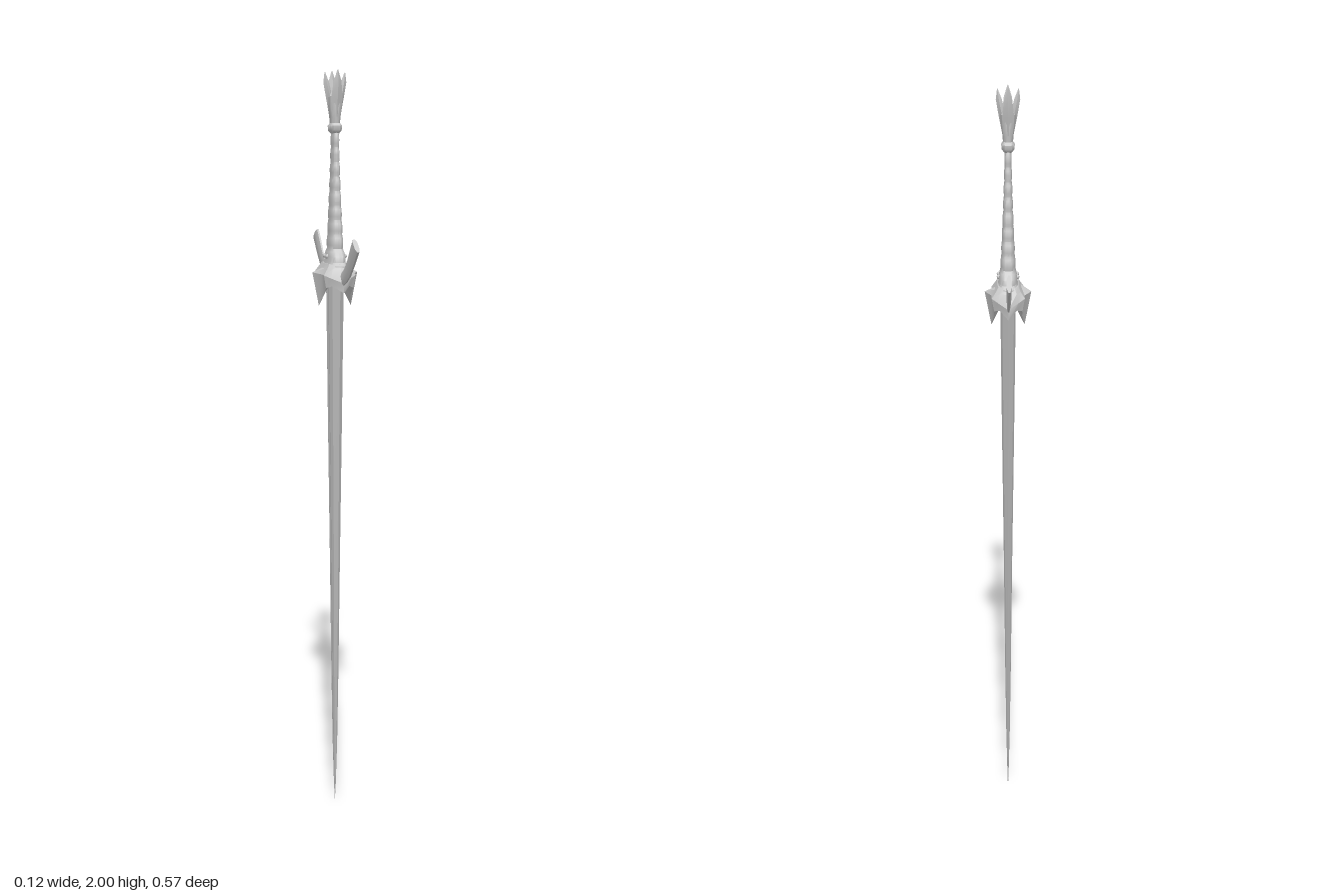
import * as THREE from 'three';
import { toCreasedNormals } from 'three/addons/utils/BufferGeometryUtils.js';

// Skin a list of rings (equal point counts), closing both ends with a fan
function loft(rings, crease = 0.6) {
  const n = rings[0].length, pos = [], idx = [];
  rings.forEach(r => r.forEach(p => pos.push(...p)));
  for (let i = 0; i < rings.length - 1; i++)
    for (let j = 0; j < n; j++) {
      const a = i * n + j, b = i * n + (j + 1) % n;
      idx.push(a, a + n, b, b, a + n, b + n);
    }
  const cap = (ring, base, flip) => {
    const c = [0, 1, 2].map(k => ring.reduce((s, p) => s + p[k], 0) / n);
    const ci = pos.length / 3;
    pos.push(...c);
    for (let j = 0; j < n; j++) {
      const a = base + j, b = base + (j + 1) % n;
      flip ? idx.push(ci, a, b) : idx.push(ci, b, a);
    }
  };
  cap(rings[0], 0, true);
  cap(rings[rings.length - 1], (rings.length - 1) * n, false);
  const g = new THREE.BufferGeometry();
  g.setAttribute('position', new THREE.Float32BufferAttribute(pos, 3));
  g.setIndex(idx);
  return toCreasedNormals(g, crease);
}

// Rounded oblong section at height y
function oval(y, rx, rz, n = 20, e = 0.75) {
  return Array.from({ length: n }, (_, i) => {
    const a = i / n * Math.PI * 2, c = Math.cos(a), s = Math.sin(a);
    return [rx * Math.sign(c) * Math.abs(c) ** e, y, rz * Math.sign(s) * Math.abs(s) ** e];
  });
}

// Mirror a quarter outline, running from +x to +z, into a full ring
function mirrorRing(q) {
  const back = q.slice(0, -1).reverse();
  return [
    ...q,
    ...back.map(([x, y, z]) => [-x, y, z]),
    ...q.slice(1).map(([x, y, z]) => [-x, y, -z]),
    ...back.slice(0, -1).map(([x, y, z]) => [x, y, -z]),
  ];
}

export function createModel() {
  const group = new THREE.Group();
  const mat = new THREE.MeshStandardMaterial({ color: 0xcccccc, side: THREE.DoubleSide });
  const add = (name, geo, parent = group) => {
    const m = new THREE.Mesh(geo, mat);
    m.name = name;
    parent.add(m);
    return m;
  };

  // Blade, point down: bevelled edges and a shallow central groove [y, half thickness, half width]
  const blade = [[0, 0.0005, 0.0005], [0.05, 0.002, 0.01], [0.18, 0.005, 0.023], [0.4, 0.008, 0.034],
    [0.7, 0.011, 0.046], [1.1, 0.016, 0.059], [1.47, 0.02, 0.071]];
  add('blade', loft(blade.map(([y, t, w]) => mirrorRing([
    [t * 0.88, y, 0], [t, y, w * 0.25], [t * 0.75, y, w * 0.6], [0, y, w],
  ])), 0.15));

  // Collar with flared, pointed flaps hanging over the blade
  add('guardCollar', loft([
    [[0.018, 1.45, 0], [0.018, 1.455, 0.02], [0.018, 1.46, 0.045], [0.012, 1.465, 0.06], [0, 1.465, 0.068]],
    [[0.043, 1.4, 0], [0.036, 1.432, 0.03], [0.036, 1.452, 0.062], [0.022, 1.458, 0.078], [0, 1.443, 0.117]],
    [[0.06, 1.488, 0], [0.042, 1.485, 0.032], [0.042, 1.485, 0.064], [0.026, 1.478, 0.08], [0, 1.468, 0.112]],
    [[0.034, 1.5, 0], [0.033, 1.5, 0.028], [0.032, 1.5, 0.058], [0.021, 1.5, 0.073], [0, 1.498, 0.08]],
    [[0.027, 1.512, 0], [0.027, 1.512, 0.025], [0.025, 1.512, 0.05], [0.016, 1.512, 0.062], [0, 1.512, 0.068]],
  ].map(mirrorRing), 0.5));

  // Upswept guard arms: lower edge (z, y), upper edge (z, y), half thickness
  const arm = [[0.06, 1.455, 0.055, 1.492, 0.005], [0.1, 1.46, 0.08, 1.488, 0.004],
    [0.145, 1.472, 0.125, 1.506, 0.004], [0.19, 1.492, 0.165, 1.531, 0.005],
    [0.24, 1.526, 0.2, 1.562, 0.006], [0.283, 1.558, 0.232, 1.587, 0.006]];
  const armGeo = loft(arm.map(([z0, y0, z1, y1, t]) => {
    const at = (x, k) => [x, y0 + (y1 - y0) * k, z0 + (z1 - z0) * k];
    return [at(0.4 * t, 0), at(-0.4 * t, 0), at(-t, 0.25), at(-t, 0.75),
      at(-0.4 * t, 1), at(0.4 * t, 1), at(t, 0.75), at(t, 0.25)];
  }), 0.7);
  [0, Math.PI].forEach((r, i) => {
    add(i ? 'guardArmBack' : 'guardArmFront', armGeo).rotation.y = r;
  });

  // Grip: stepped foot, then a tapering ribbed handle
  const grip = [oval(1.495, 0.028, 0.075), oval(1.508, 0.028, 0.073), oval(1.516, 0.023, 0.062),
    oval(1.53, 0.024, 0.06), oval(1.542, 0.021, 0.05)];
  const ribs = 8, steps = 4;
  for (let i = 0; i <= ribs * steps; i++) {
    const k = i / (ribs * steps), bump = Math.abs(Math.sin(k * ribs * Math.PI));
    const taper = (1 - k) ** 1.4;
    grip.push(oval(1.55 + 0.295 * k, 0.0075 + 0.011 * taper + 0.0015 * bump,
      0.023 + 0.017 * taper + 0.004 * bump));
  }
  add('grip', loft(grip, 0.7));

  // Small studs at the foot of the grip
  const stud = new THREE.SphereGeometry(0.006, 8, 6);
  for (const x of [-1, 1]) for (const z of [-1, 1])
    add('gripStud', stud).position.set(x * 0.023, 1.53, z * 0.016);

  // Pommel ring and flared crown base
  add('pommelRing', loft([oval(1.843, 0.01, 0.022), oval(1.85, 0.016, 0.029), oval(1.862, 0.017, 0.03),
    oval(1.869, 0.012, 0.023)], 0.8));
  add('crownBase', loft([oval(1.862, 0.012, 0.022, 20, 1), oval(1.885, 0.014, 0.026, 20, 1),
    oval(1.91, 0.018, 0.031, 20, 1), oval(1.935, 0.019, 0.031, 20, 1), oval(1.945, 0.011, 0.018, 20, 1)], 0.7));

  // Four crown prongs: [y, inner radius, outer radius, half width]
  const sidePath = [[1.885, 0.003, 0.014, 0.012], [1.93, 0.006, 0.023, 0.014],
    [1.97, 0.015, 0.03, 0.009], [1.995, 0.025, 0.027, 0.001]];
  const longPath = [[1.885, 0.008, 0.027, 0.011], [1.93, 0.012, 0.037, 0.015],
    [1.972, 0.024, 0.046, 0.01], [2, 0.036, 0.039, 0.001]];
  for (let i = 0; i < 4; i++) {
    const path = i % 2 ? longPath : sidePath;
    add('crownProng', loft(path.map(([y, r0, r1, w]) => {
      const m = (r0 + r1) / 2;
      return [[r1, y, 0], [m, y, w], [r0, y, 0], [m, y, -w]];
    }), 0.5)).rotation.y = i * Math.PI / 2;
  }
  return group;
}
